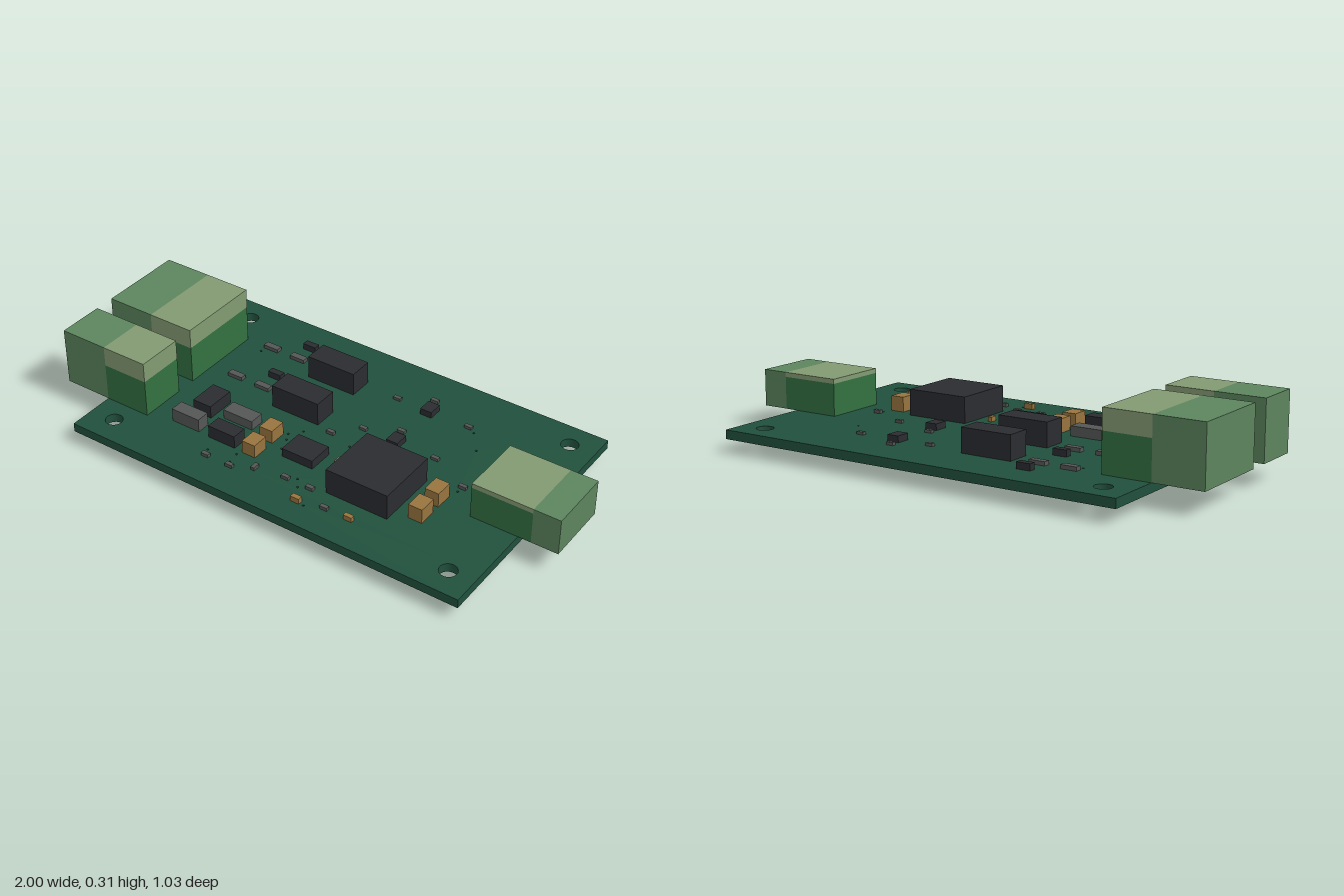
import * as THREE from 'three';

const mat = (color) => new THREE.MeshStandardMaterial({ color });
const MATS = {
  board: mat(0x21503d), dark: mat(0x2b2c30), grey: mat(0x555656), tan: mat(0x98743f),
  plug: mat(0x5c845e), cap: mat(0x829a72), header: mat(0x337040), pin: mat(0xaaaaaa),
};
const BASE = 0.052, TOP = 0.087; // board underside and upper face

export function createModel() {
  const model = new THREE.Group();

  // Box given by its extents
  const box = (name, m, x0, x1, z0, z1, y1, y0 = TOP, parent = model) => {
    const mesh = new THREE.Mesh(new THREE.BoxGeometry(x1 - x0, y1 - y0, z1 - z0), MATS[m]);
    mesh.position.set((x0 + x1) / 2, (y0 + y1) / 2, (z0 + z1) / 2);
    mesh.name = name;
    parent.add(mesh);
  };
  // Box standing on the board, given by centre and footprint
  const part = (name, m, x, z, w, d, top) =>
    box(name, m, x - w / 2, x + w / 2, z - d / 2, z + d / 2, top);

  // Circuit board with mounting holes and vias (shape y = -z)
  const outline = new THREE.Shape([[-0.805, -0.515], [0.845, -0.515], [0.845, 0.515], [-0.805, 0.515]]
    .map(([x, y]) => new THREE.Vector2(x, y)));
  const drill = (x, z, r) => outline.holes.push(new THREE.Path().absarc(x, -z, r, 0, Math.PI * 2, true));
  for (const x of [-0.7, 0.743]) for (const z of [-0.415, 0.411]) drill(x, z, 0.033);
  const vias = [[0.486, -0.19], [0.424, -0.275], [-0.331, -0.36], [-0.526, -0.254], [-0.344, -0.125],
    [-0.088, 0.072], [0.1, 0.05], [-0.11, 0.147], [-0.093, 0.2], [-0.206, 0.318], [-0.307, 0.355],
    [-0.2, 0.366], [0.056, 0.307], [0.083, 0.344], [0.158, 0.414], [0.553, 0.045], [-0.125, 0.115]];
  vias.forEach(([x, z]) => drill(x, z, 0.004));
  const boardGeo = new THREE.ExtrudeGeometry(outline,
    { depth: TOP - BASE, bevelEnabled: false, curveSegments: 12 });
  boardGeo.rotateX(-Math.PI / 2);
  const board = new THREE.Mesh(boardGeo, MATS.board);
  board.position.y = BASE;
  board.name = 'circuitBoard';
  model.add(board);

  // Round solder pins under the board
  const pinGeo = new THREE.CylinderGeometry(0.008, 0.008, BASE + 0.01, 8);
  const pins = (x, zs) => zs.forEach((z) => {
    const pin = new THREE.Mesh(pinGeo, MATS.pin);
    pin.position.set(x, (BASE + 0.01) / 2, z);
    pin.name = 'solderPin';
    model.add(pin);
  });

  // Terminal connector: header with pale cap, plus the outer plug
  const connector = (name, inner, split, outer, z0, z1, mid, top) => {
    const g = new THREE.Group();
    g.name = name;
    const a = Math.min(inner, split), b = Math.max(inner, split);
    box('header', 'header', a, b, z0, z1, mid, TOP, g);
    box('headerCap', 'cap', a, b, z0, z1, top, mid, g);
    box('plug', 'plug', Math.min(split, outer), Math.max(split, outer), z0, z1, top, TOP, g);
    model.add(g);
  };
  connector('largeConnector', -0.617, -0.805, -1, -0.29, 0.055, 0.236, 0.315);
  connector('smallConnector', -0.617, -0.805, -1, 0.136, 0.322, 0.236, 0.315);
  connector('leftConnector', 0.657, 0.895, 1, -0.122, 0.134, 0.212, 0.23);
  pins(-0.64, [0, -0.078, -0.156, -0.234, 0.192, 0.27]);
  pins(0.7, [0.084, 0.032, -0.019, -0.07]);

  // Power converter blocks with their pins
  for (const z of [-0.267, -0.038]) {
    part('converter', 'dark', -0.171, z, 0.206, 0.097, 0.18);
    for (const x of [-0.25, -0.09]) pins(x, [z - 0.026, z + 0.026]);
  }

  // Chips, inductors and diodes
  part('mainChip', 'dark', 0.307, 0.184, 0.254, 0.254, 0.188);
  part('controllerChip', 'dark', 0, 0.182, 0.132, 0.103, 0.122);
  part('diode', 'dark', -0.454, 0.142, 0.08, 0.118, 0.138);
  part('diode', 'dark', -0.291, 0.265, 0.118, 0.06, 0.138);
  part('fuse', 'grey', -0.311, 0.143, 0.13, 0.06, 0.125);
  part('fuse', 'grey', -0.459, 0.265, 0.122, 0.054, 0.14);

  // Large capacitors
  for (const z of [0.16, 0.264]) part('capacitor', 'tan', -0.167, z, 0.056, 0.068, 0.14);
  for (const z of [0.12, 0.225]) part('capacitor', 'tan', 0.515, z, 0.056, 0.072, 0.145);

  // Small capacitors
  part('smallCapacitor', 'tan', 0.123, 0.152, 0.016, 0.032, 0.105);
  part('smallCapacitor', 'tan', 0.123, 0.408, 0.036, 0.02, 0.108);
  part('smallCapacitor', 'tan', 0.328, 0.386, 0.034, 0.018, 0.106);

  // Two repeated isolator channels
  for (const dz of [0, 0.227]) {
    for (const x of [-0.497, -0.372]) part('resistor', 'grey', x, -0.29 + dz, 0.064, 0.026, 0.102);
    part('smallDiode', 'dark', -0.372, -0.373 + dz, 0.056, 0.027, 0.112);
    part('transistor', 'dark', 0.225, -0.291 + dz, 0.048, 0.058, 0.112);
    for (const [x, z] of [[0.206, -0.357], [0.083, -0.291], [0.392, -0.291]])
      part('tinyResistor', 'grey', x, z + dz, 0.03, 0.016, 0.098);
  }

  // Scattered tiny resistors
  for (const [x, z] of [[0.558, 0.019], [0, 0.024], [-0.291, 0.387], [-0.184, 0.387],
    [0.227, 0.387], [0.019, 0.328], [0.125, 0.328]])
    part('tinyResistor', 'grey', x, z, 0.03, 0.016, 0.1);
  part('tinyResistor', 'grey', -0.104, 0.344, 0.016, 0.03, 0.1);

  return model;
}
